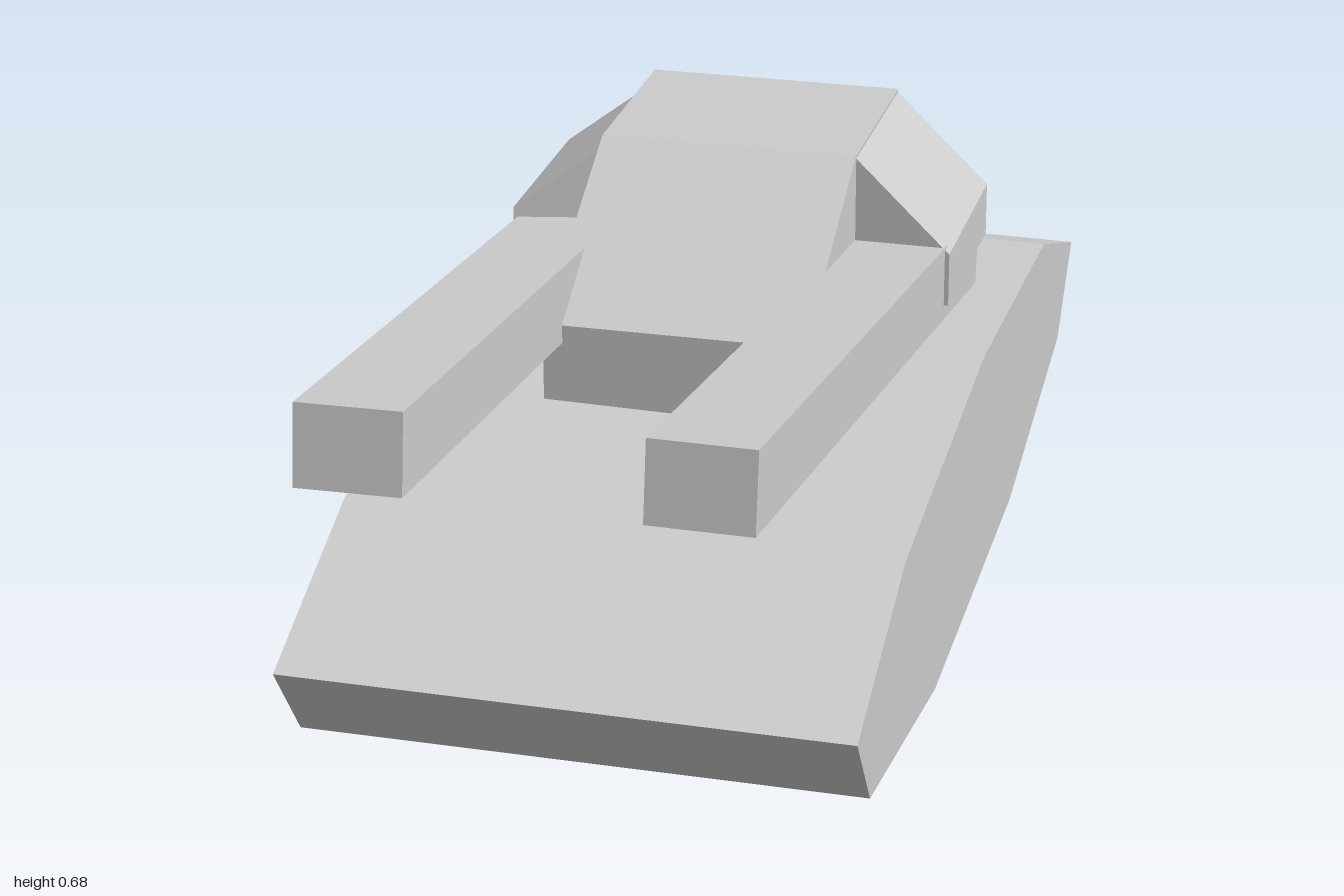
import * as THREE from 'three';
import { ConvexGeometry } from 'three/addons/geometries/ConvexGeometry.js';

const material = new THREE.MeshStandardMaterial({ color: 0xcccccc, flatShading: true });

function part(name, geometry) {
  const mesh = new THREE.Mesh(geometry, material);
  mesh.name = name;
  return mesh;
}

// Side profile of [z, y] points, extruded across x and centred
function slab(name, profile, width) {
  const shape = new THREE.Shape(profile.map(([z, y]) => new THREE.Vector2(-z, y)));
  const geometry = new THREE.ExtrudeGeometry(shape, { depth: width, bevelEnabled: false });
  geometry.translate(0, 0, -width / 2);
  geometry.rotateY(Math.PI / 2);
  return part(name, geometry);
}

// Faceted solid around a few corner points
function solid(name, corners) {
  return part(name, new ConvexGeometry(corners.map((c) => new THREE.Vector3(...c))));
}

// Square barrel from breech to muzzle
function barrel(name, breech, muzzle) {
  const a = new THREE.Vector3(...breech);
  const b = new THREE.Vector3(...muzzle);
  const mesh = part(name, new THREE.BoxGeometry(0.142, 0.111, a.distanceTo(b)));
  mesh.position.copy(a).add(b).multiplyScalar(0.5);
  mesh.lookAt(b);
  return mesh;
}

// Sloping shoulder over a barrel; its outer edge may be shifted along z
function shoulder(name, inner, outer, outerTop, outerBottom, shift) {
  const corners = [];
  for (const z of [-0.11, -0.413]) {
    corners.push([inner, 0.663, z], [inner, outerBottom, z]);
    corners.push([outer, outerTop, z + shift], [outer, outerBottom, z + shift]);
  }
  return solid(name, corners);
}

export function createModel() {
  const model = new THREE.Group();
  model.name = 'tank';

  // Hull, sitting very slightly askew
  const hull = slab('hull', [
    [0.882, 0.243], [0.567, 0.354], [-0.06, 0.392], [-0.65, 0.344], [-0.993, 0.218],
    [-0.88, 0.09], [-0.4, 0.01], [0.27, 0.015], [0.775, 0.11],
  ], 0.775);
  hull.rotation.set(0, 0.018, -0.0175);
  model.add(hull);

  // Turret body with sloping front plate
  const turret = new THREE.Group();
  turret.name = 'turret';
  turret.add(slab('turretBody', [
    [0.22, 0.345], [0.22, 0.494], [-0.108, 0.663], [-0.413, 0.663], [-0.413, 0.33],
  ], 0.38));

  // Tapered rear of the turret
  turret.add(solid('turretRear', [
    [-0.08, 0.663, -0.41], [0.08, 0.663, -0.41], [-0.245, 0.34, -0.41], [0.195, 0.34, -0.41],
    [-0.08, 0.505, -0.645], [0.08, 0.505, -0.648], [-0.268, 0.335, -0.64], [0.2, 0.33, -0.65],
  ]));

  // Shoulders
  turret.add(shoulder('leftShoulder', 0.185, 0.33, 0.522, 0.442, 0));
  turret.add(shoulder('rightShoulder', -0.165, -0.315, 0.555, 0.45, 0.048));

  // Guns
  turret.add(barrel('leftBarrel', [0.257, 0.442, -0.355], [0.232, 0.626, 0.988]));
  turret.add(barrel('rightBarrel', [-0.244, 0.446, -0.34], [-0.217, 0.63, 0.992]));
  model.add(turret);

  return model;
}
